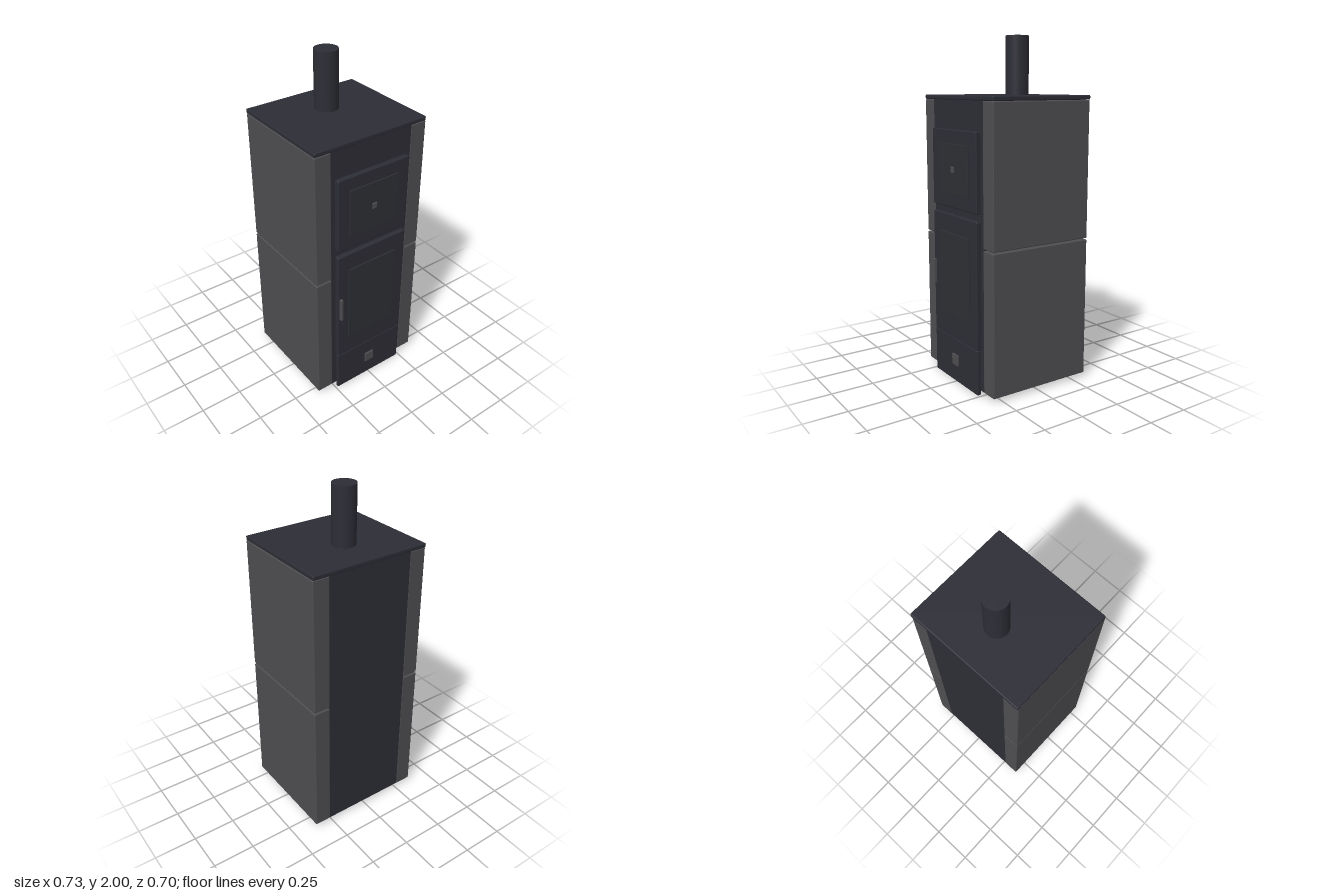
import * as THREE from 'three';
import { RoundedBoxGeometry } from 'three/addons/geometries/RoundedBoxGeometry.js';

const paint = (name, color) => {
  const m = new THREE.MeshStandardMaterial({ color });
  m.name = name;
  return m;
};

export function createModel() {
  const stove = new THREE.Group();
  stove.name = 'stove';
  const steel = paint('dark steel', 0x2d2d36);
  const stone = paint('grey stone', 0x4e4d50);
  const glass = paint('smoked glass', 0x2e3034);

  const add = (name, geometry, material, x, y, z) => {
    const mesh = new THREE.Mesh(geometry, material);
    mesh.name = name;
    mesh.position.set(x, y, z);
    stove.add(mesh);
    return mesh;
  };
  // Softly rounded block given by its limits on each axis
  const block = (name, material, [x0, x1], [y0, y1], [z0, z1], radius = 0.006) =>
    add(name, new RoundedBoxGeometry(x1 - x0, y1 - y0, z1 - z0, 3, radius), material,
      (x0 + x1) / 2, (y0 + y1) / 2, (z0 + z1) / 2);

  // Central steel body and top plate
  block('body', steel, [-0.266, 0.266], [0.022, 1.645], [-0.342, 0.302], 0.003);
  block('topPlate', steel, [-0.364, 0.364], [1.641, 1.666], [-0.349, 0.305]);

  // Stone cladding, two blocks on each side with an open joint
  for (const side of [-1, 1]) {
    for (const [part, y0, y1] of [['lower', 0.022, 0.841], ['upper', 0.849, 1.64]]) {
      const xs = [side * 0.262, side * 0.364].sort((a, b) => a - b);
      block(part + (side > 0 ? 'Left' : 'Right') + 'Cladding', stone, xs, [y0, y1], [-0.344, 0.304]);
    }
  }

  // Doors with raised panes, and the drawer front
  block('upperDoor', steel, [-0.237, 0.237], [1.037, 1.479], [0.298, 0.33]);
  block('upperPane', glass, [-0.164, 0.164], [1.112, 1.402], [0.322, 0.337], 0.002);
  block('lowerDoor', steel, [-0.237, 0.237], [0.265, 0.995], [0.298, 0.33]);
  block('lowerPane', glass, [-0.164, 0.164], [0.394, 0.89], [0.322, 0.337], 0.002);
  block('drawer', steel, [-0.237, 0.237], [0, 0.264], [0.306, 0.329]);

  // Door handle, door knob and drawer pull
  block('handle', stone, [-0.227, -0.212], [0.553, 0.703], [0.322, 0.348], 0.003);
  block('knob', stone, [-0.016, 0.016], [1.238, 1.274], [0.331, 0.343], 0.005);
  block('drawerPull', stone, [-0.032, 0.032], [0.102, 0.168], [0.322, 0.338], 0.003);

  // Flue pipe
  add('flue', new THREE.CylinderGeometry(0.068, 0.068, 0.345, 48), steel, 0, 1.8275, -0.102);

  return stove;
}
